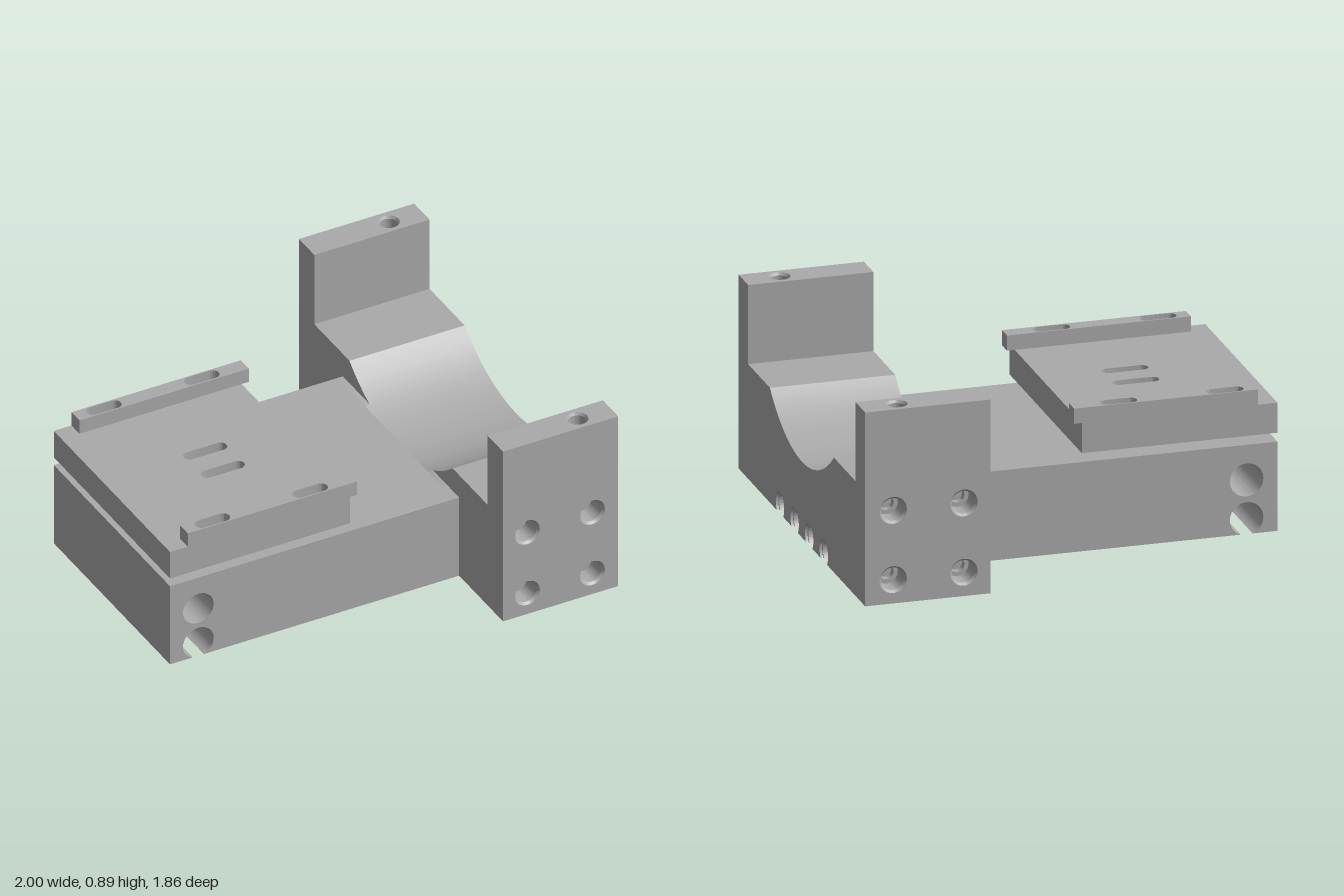
import * as THREE from 'three';
import { toCreasedNormals } from 'three/addons/utils/BufferGeometryUtils.js';

// saddle arc: centre height and radius
const ARC_Y = 1.054, ARC_R = 0.704;

export function createModel() {
  const model = new THREE.Group();
  const grey = new THREE.MeshStandardMaterial({ color: 0xaaaaaa, side: THREE.DoubleSide });
  grey.name = 'machinedGrey';

  const add = (name, geo) => {
    const mesh = new THREE.Mesh(toCreasedNormals(geo, 0.45), grey);
    mesh.name = name;
    model.add(mesh);
    return mesh;
  };

  // extrude a shape along one axis, from a to b
  const extrude = (name, shape, axis, a, b) => {
    const geo = new THREE.ExtrudeGeometry(shape, { depth: b - a, bevelEnabled: false, curveSegments: 32 });
    geo.translate(0, 0, a);
    if (axis === 'x') geo.rotateY(Math.PI / 2); // shape is (-z, y)
    if (axis === 'y') geo.rotateX(-Math.PI / 2); // shape is (x, -z)
    return add(name, geo);
  };

  const rect = (x0, y0, x1, y1) => new THREE.Shape([
    new THREE.Vector2(x0, y0), new THREE.Vector2(x1, y0),
    new THREE.Vector2(x1, y1), new THREE.Vector2(x0, y1)]);

  const circleHole = (shape, x, y, r) =>
    shape.holes.push(new THREE.Path().absarc(x, y, r, 0, Math.PI * 2, true));

  // rounded rectangle hole; a full corner radius makes a slot
  const roundHole = (shape, cx, cy, w, h, r) => {
    const p = new THREE.Path(), a = w / 2 - r, b = h / 2 - r, q = Math.PI / 2;
    p.absarc(cx + a, cy + b, r, 0, q, false);
    p.absarc(cx - a, cy + b, r, q, 2 * q, false);
    p.absarc(cx - a, cy - b, r, 2 * q, 3 * q, false);
    p.absarc(cx + a, cy - b, r, 3 * q, 4 * q, false);
    p.closePath();
    shape.holes.push(p);
  };

  // round bite that breaks through the bottom edge y = 0
  const bite = (shape, x, y, r) => {
    const h = Math.sqrt(r * r - y * y);
    shape.lineTo(x - h, 0);
    shape.absarc(x, y, r, Math.atan2(-y, -h), Math.atan2(-y, h), true);
  };

  // cross-section with the saddle arc in its top and optional bites below
  const saddle = (half, top, biteR = 0) => {
    const s = new THREE.Shape(), dy = top - ARC_Y;
    const a = Math.sqrt(ARC_R * ARC_R - dy * dy);
    s.moveTo(-half, 0);
    if (biteR) for (const u of [-0.322, -0.107, 0.107, 0.322]) bite(s, u, 0.04, biteR);
    s.lineTo(half, 0);
    s.lineTo(half, top);
    s.lineTo(a, top);
    s.absarc(0, ARC_Y, ARC_R, Math.atan2(dy, a), Math.atan2(dy, -a), true);
    s.lineTo(-half, top);
    s.closePath();
    return s;
  };

  // chamfered blind bore with a narrower pilot hole, opening towards +y
  const bore = (name, r, depth) => {
    const pts = [[r, 0], [r * 0.84, -0.012], [r * 0.84, -depth * 0.75],
      [r * 0.53, -depth * 0.75], [r * 0.53, -depth], [0, -depth]];
    return add(name, new THREE.LatheGeometry(pts.map(p => new THREE.Vector2(...p)), 40));
  };

  // base: rear end with two cross holes, the lower one open at the bottom
  const end = new THREE.Shape();
  end.moveTo(-1, 0);
  bite(end, -0.86, 0.071, 0.076);
  end.lineTo(-0.7, 0);
  end.lineTo(-0.7, 0.412);
  end.lineTo(-1, 0.412);
  end.closePath();
  circleHole(end, -0.86, 0.25, 0.076);
  extrude('baseEnd', end, 'z', -0.53, 0.53);

  // base: middle with a rounded window through it
  const middle = rect(-0.7, -0.53, 0.405, 0.53);
  roundHole(middle, -0.495, 0, 0.29, 0.33, 0.075);
  extrude('baseMiddle', middle, 'y', 0, 0.412);
  extrude('baseSaddleRelief', saddle(0.53, 0.412), 'x', 0.405, 0.43);

  // saddle block, ending in a face with four bottom bores
  extrude('saddleCore', saddle(0.79, 0.53), 'x', 0.43, 0.88);
  extrude('saddleEndBores', saddle(0.79, 0.53, 0.052), 'x', 0.88, 0.988);
  extrude('saddleEndFace', saddle(0.79, 0.53, 0.062), 'x', 0.988, 1);

  // upright side walls with bolt bores
  for (const s of [-1, 1]) {
    const side = s > 0 ? 'front' : 'back';
    const z0 = s > 0 ? 0.79 : -0.93;
    const wall = rect(0.43, 0, 1, 0.77);
    for (const x of [0.55, 0.872]) {
      for (const y of [0.11, 0.43]) {
        circleHole(wall, x, y, 0.062);
        const b = bore(side + 'WallBore', 0.062, 0.135);
        b.rotation.x = s * Math.PI / 2;
        b.position.set(x, y, s * 0.93);
      }
    }
    extrude(side + 'Wall', wall, 'z', z0, z0 + 0.14);

    const cap = rect(0.43, -z0 - 0.14, 1, -z0);
    circleHole(cap, 0.836, -s * 0.86, 0.048);
    extrude(side + 'WallCap', cap, 'y', 0.77, 0.895);
    bore(side + 'CapBore', 0.048, 0.12).position.set(0.836, 0.895, s * 0.86);
  }

  // raised plate with two middle slots and slotted rails
  const plate = rect(-1, -0.53, -0.11, 0.53);
  for (const s of [-1, 1]) {
    roundHole(plate, -0.495, s * 0.08, 0.21, 0.058, 0.0289);
    const rail = s > 0 ? rect(-0.912, 0.457, -0.075, 0.53) : rect(-0.912, -0.53, -0.075, -0.457);
    for (const x of [-0.772, -0.288]) {
      for (const shape of [plate, rail]) roundHole(shape, x, s * 0.494, 0.168, 0.06, 0.0299);
    }
    extrude(s > 0 ? 'backRail' : 'frontRail', rail, 'y', 0.592, 0.662);
  }
  extrude('plate', plate, 'y', 0.453, 0.592);

  return model;
}
